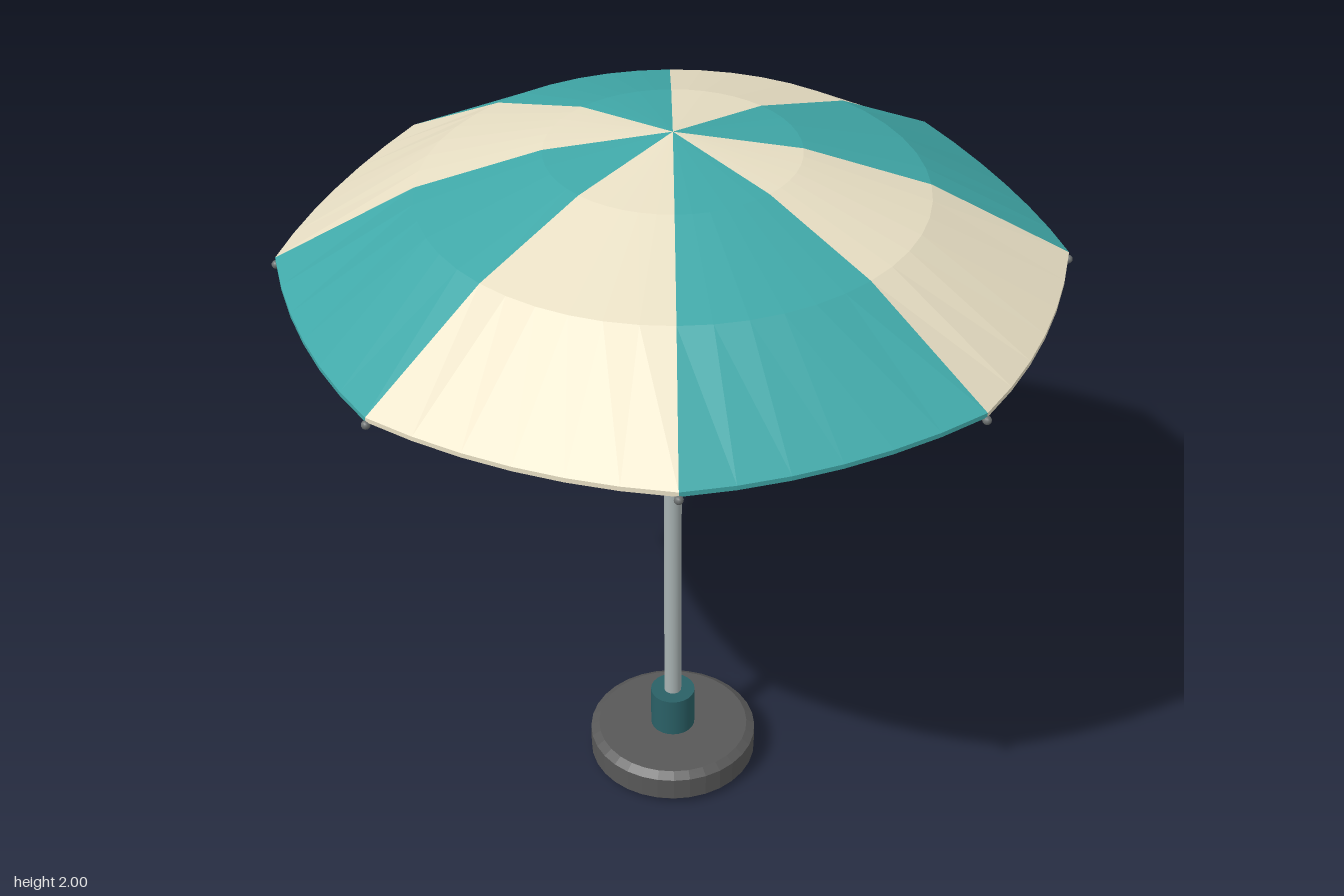
import * as THREE from 'three';

const mat = (color, extra = {}) => new THREE.MeshStandardMaterial({ color, ...extra });
const RIBS = 8, STEP = (Math.PI * 2) / RIBS;
// canopy profile along a rib: [radius, height]
const PROFILE = [[0, 2], [0.315, 1.953], [0.63, 1.852], [0.985, 1.658]];

const polar = (r, y, a) => new THREE.Vector3(r * Math.sin(a), y, r * Math.cos(a));

// One thin cloth panel between two ribs, its hem curved inward and sagging
function panelGeometry(start, thickness = 0.012, segments = 6) {
  const pos = [];
  const point = (ring, t, under) => {
    let [r, y] = PROFILE[ring];
    if (ring === PROFILE.length - 1) {
      const bow = 4 * t * (1 - t);
      r -= 0.038 * bow;
      y -= 0.009 * bow;
    }
    return polar(r, y - (under ? thickness : 0), start + t * STEP);
  };
  const tri = (...corners) => corners.forEach(p => pos.push(p.x, p.y, p.z));
  const quad = (a, b, c, d) => { tri(a, b, c); tri(a, c, d); };
  const last = PROFILE.length - 1;
  for (let i = 0; i < segments; i++) {
    const t0 = i / segments, t1 = (i + 1) / segments;
    for (const under of [false, true]) {
      for (let k = 0; k < last; k++) {
        const a = point(k, t0, under), b = point(k + 1, t0, under);
        const c = point(k + 1, t1, under), d = point(k, t1, under);
        if (k === 0) under ? tri(a, c, b) : tri(a, b, c);
        else under ? quad(a, d, c, b) : quad(a, b, c, d);
      }
    }
    // hem
    quad(point(last, t0, false), point(last, t0, true), point(last, t1, true), point(last, t1, false));
  }
  const geo = new THREE.BufferGeometry();
  geo.setAttribute('position', new THREE.Float32BufferAttribute(pos, 3));
  geo.computeVertexNormals();
  return geo;
}

export function createModel() {
  const model = new THREE.Group();
  const cream = mat(0xe8dfc4, { flatShading: true }), teal = mat(0x40a8a8, { flatShading: true });
  const darkTeal = mat(0x2a6066), metal = mat(0xa8b2b2), ribGrey = mat(0x6a6e6e), stone = mat(0x585858, { flatShading: true });

  const add = (name, geo, material, parent = model) => {
    const mesh = new THREE.Mesh(geo, material);
    mesh.name = name;
    parent.add(mesh);
    return mesh;
  };
  const cylinder = (name, r, y0, y1, material, sides = 24) =>
    add(name, new THREE.CylinderGeometry(r, r, y1 - y0, sides).translate(0, (y0 + y1) / 2, 0), material);
  const rod = (name, from, to, r, material, parent) => {
    const dir = to.clone().sub(from);
    const mesh = add(name, new THREE.CylinderGeometry(r, r, dir.length(), 8), material, parent);
    mesh.position.copy(from).add(to).multiplyScalar(0.5);
    mesh.quaternion.setFromUnitVectors(new THREE.Vector3(0, 1, 0), dir.normalize());
  };

  // Chamfered base, collar and pole
  const basePoints = [[0, 0], [0.215, 0], [0.235, 0.02], [0.235, 0.088], [0.212, 0.103], [0, 0.105]];
  add('base', new THREE.LatheGeometry(basePoints.map(p => new THREE.Vector2(...p)), 32), stone);
  cylinder('baseCollar', 0.062, 0.1, 0.226, darkTeal);
  cylinder('pole', 0.024, 0.1, 1.97, metal);

  // Sliding runner and top hub
  cylinder('runner', 0.057, 1.49, 1.54, darkTeal);
  cylinder('runnerNeck', 0.042, 1.53, 1.555, darkTeal);
  cylinder('topHub', 0.075, 1.935, 1.968, darkTeal);

  // Canopy panels in alternating colours
  const canopy = new THREE.Group();
  canopy.name = 'canopy';
  model.add(canopy);
  for (let i = 0; i < RIBS; i++) add('canopyPanel', panelGeometry(i * STEP), i % 2 ? teal : cream, canopy);

  // Ribs under the seams, their end caps and the struts that hold them
  const frame = new THREE.Group();
  frame.name = 'frame';
  model.add(frame);
  for (let i = 0; i < RIBS; i++) {
    const a = i * STEP;
    const points = PROFILE.map(([r, y]) => polar(Math.max(r, 0.04), y - 0.02, a));
    for (let k = 0; k < points.length - 1; k++) {
      rod('rib', points[k], points[k + 1], 0.009, ribGrey, frame);
    }
    add('ribTip', new THREE.SphereGeometry(0.011, 10, 8), ribGrey, frame).position.copy(points.at(-1));
    rod('strut', polar(0.045, 1.53, a), polar(0.53, 1.865, a), 0.007, metal, frame);
  }
  return model;
}
